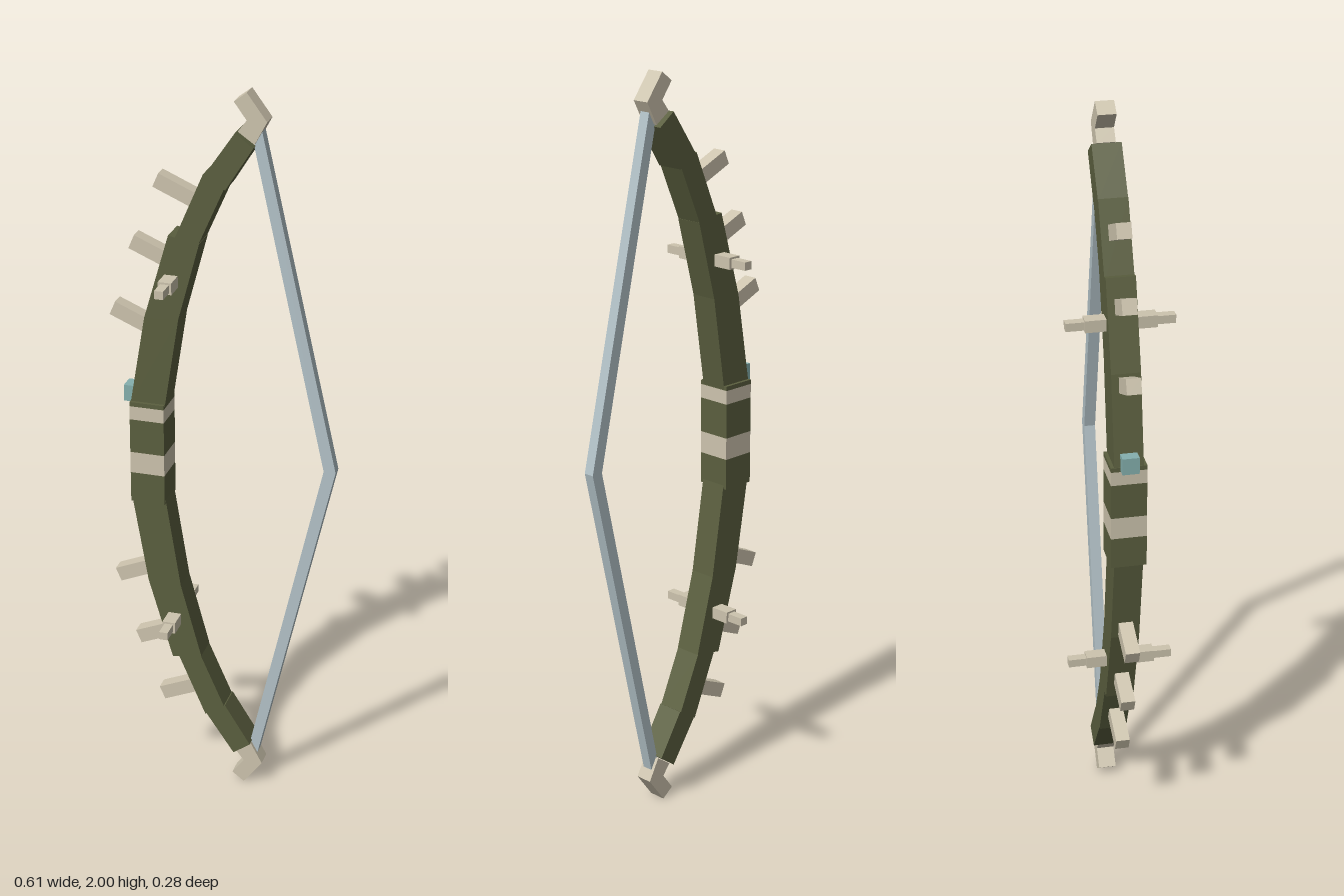
import * as THREE from 'three';

const material = (name, color) => {
  const m = new THREE.MeshStandardMaterial({ color });
  m.name = name;
  return m;
};

export function createModel() {
  const olive = material('olive wood', 0x5b5f3f);
  const bone = material('bone', 0xcdc4ae);
  const cord = material('pale cord', 0xb4c3c9);
  const teal = material('teal sight', 0x85b0ae);

  const model = new THREE.Group();
  model.name = 'bow';

  const add = (parent, name, geometry, mat) => {
    const mesh = new THREE.Mesh(geometry, mat);
    mesh.name = name;
    parent.add(mesh);
    return mesh;
  };
  const box = (parent, name, mat, size, pos, tilt = 0) => {
    const mesh = add(parent, name, new THREE.BoxGeometry(...size), mat);
    mesh.position.set(...pos);
    mesh.rotation.z = tilt;
    return mesh;
  };
  // Flat outline extruded about z = 0; side -1 flips it about y = 1
  const slab = (parent, name, mat, points, halfDepth, side) => {
    const shape = new THREE.Shape(points.map(([x, y]) => new THREE.Vector2(x, 1 + side * (y - 1))));
    const g = new THREE.ExtrudeGeometry(shape, { depth: halfDepth * 2, bevelEnabled: false });
    g.translate(0, 0, -halfDepth);
    return add(parent, name, g, mat);
  };

  // Grip: stacked bands of wood and bone wrapping
  const bands = [
    [0.855, 0.94, olive], [0.94, 1.0, bone], [1.0, 1.095, olive],
    [1.095, 1.133, bone], [1.133, 1.145, olive],
  ];
  for (const [y0, y1, mat] of bands) {
    box(model, mat === bone ? 'gripWrap' : 'grip', mat,
      [0.094, y1 - y0, 0.094], [-0.2, (y0 + y1) / 2, 0]);
  }

  // Small sight block on the outer edge of the grip
  box(model, 'sight', teal, [0.04, 0.045, 0.044], [-0.25, 1.158, 0]);

  // Edges of the upper limb: each quad is one straight segment
  const segments = [
    [[-0.247, 1.135], [-0.153, 1.135], [-0.113, 1.39], [-0.205, 1.385]],
    [[-0.205, 1.385], [-0.113, 1.39], [-0.056, 1.602], [-0.138, 1.616]],
    [[-0.125, 1.6], [-0.058, 1.6], [0.01, 1.755], [-0.045, 1.787]],
    [[-0.045, 1.78], [0.012, 1.75], [0.084, 1.865], [0.037, 1.9]],
  ];
  const tip = [[0.03, 1.975], [0.063, 2], [0.115, 1.93], [0.083, 1.87], [0.04, 1.9], [0.063, 1.93]];
  const string = [[0.273, 1], [0.305, 1], [0.1, 1.903], [0.073, 1.895]];
  // Outer and inner ends of the pegs
  const pegs = [
    [-0.176, 1.753, -0.08, 1.711],
    [-0.243, 1.582, -0.14, 1.538],
    [-0.298, 1.394, -0.19, 1.348],
  ];

  for (const side of [1, -1]) {
    const half = new THREE.Group();
    half.name = side > 0 ? 'upperHalf' : 'lowerHalf';
    model.add(half);

    segments.forEach((quad) => slab(half, 'limbSegment', olive, quad, 0.038, side));
    slab(half, 'tip', bone, tip, 0.024, side);
    slab(half, 'bowstring', cord, string, 0.015, side);

    // Pegs along the outer edge
    for (const [x0, y0, x1, y1] of pegs) {
      const dx = x1 - x0, dy = y1 - y0;
      box(half, 'peg', bone, [Math.hypot(dx, dy), 0.04, 0.038],
        [(x0 + x1) / 2, 1 + side * ((y0 + y1) / 2 - 1), 0], side * Math.atan2(dy, dx));
    }

    // Stepped spikes through the limb, front and back
    const y = 1 + side * 0.494;
    box(half, 'spikeBase', bone, [0.036, 0.032, 0.184], [-0.131, y, 0]);
    for (const z of [0.116, -0.116]) {
      box(half, 'spikeEnd', bone, [0.024, 0.022, 0.048], [-0.131, y, z]);
    }
  }
  return model;
}
